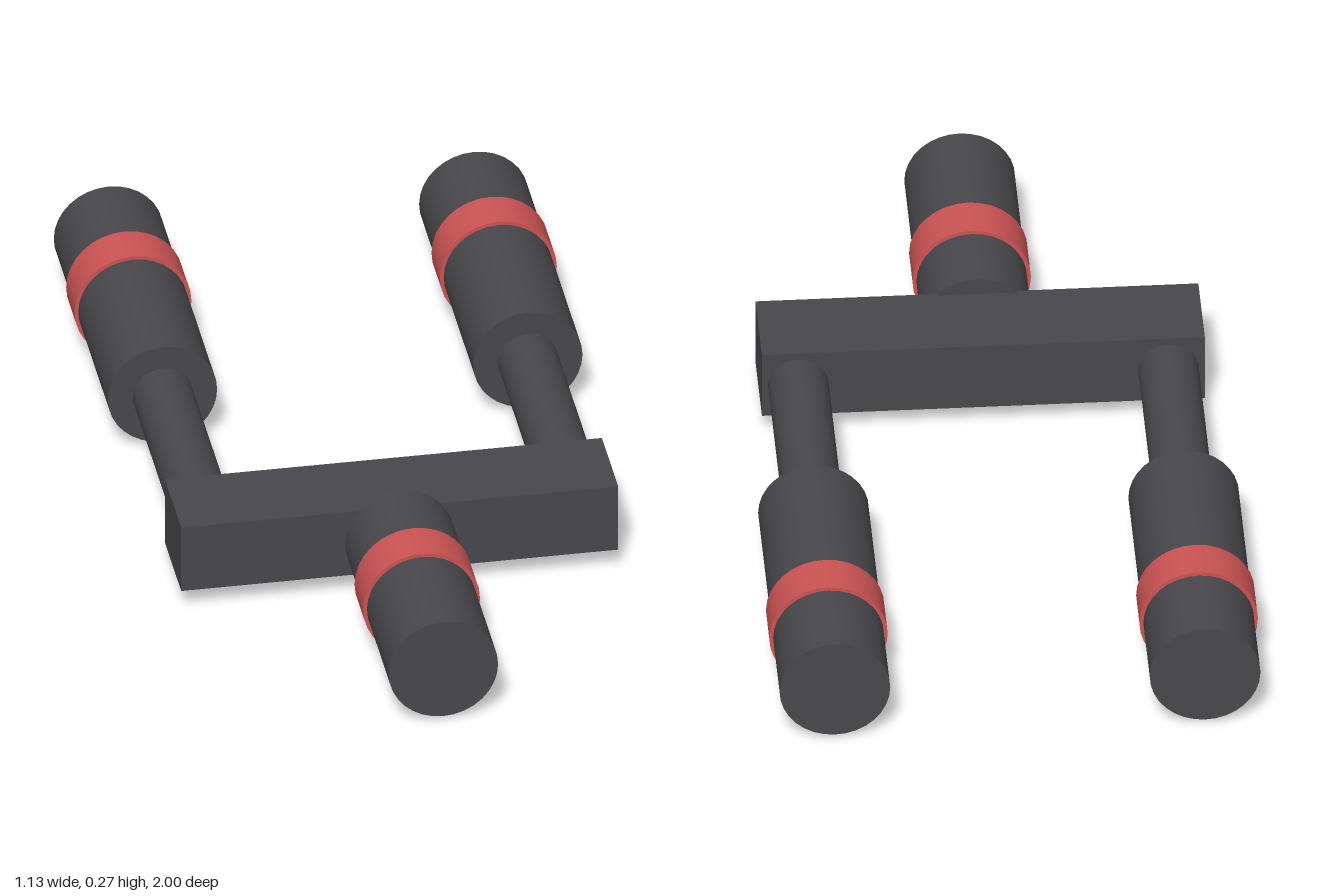
import * as THREE from 'three';

const AXIS_Y = 0.137;

export function createModel() {
  const model = new THREE.Group();
  model.name = 'forkedConnector';

  const charcoal = new THREE.MeshStandardMaterial({ color: 0x48474b });
  charcoal.name = 'charcoal';
  const red = new THREE.MeshStandardMaterial({ color: 0xcd5454 });
  red.name = 'red';

  // Closed cylinder lying along z, from z0 to z1
  function rod(name, radius, x, z0, z1, material, parent) {
    const geometry = new THREE.CylinderGeometry(radius, radius, z1 - z0, 32);
    geometry.rotateX(Math.PI / 2);
    const mesh = new THREE.Mesh(geometry, material);
    mesh.name = name;
    mesh.position.set(x, AXIS_Y, (z0 + z1) / 2);
    parent.add(mesh);
  }

  // Crossbar joining the three arms
  const bar = new THREE.Mesh(new THREE.BoxGeometry(1.024, 0.172, 0.214), charcoal);
  bar.name = 'crossbar';
  bar.position.set(0, AXIS_Y + 0.001, 0.319);
  model.add(bar);

  // Single front plug with its band
  const front = new THREE.Group();
  front.name = 'frontPlug';
  rod('frontBarrel', 0.128, 0, 0.42, 1, charcoal, front);
  rod('frontBand', 0.137, 0, 0.6, 0.713, red, front);
  model.add(front);

  // Two rear arms: thin stem, barrel and band
  for (const [side, sign] of [['left', 1], ['right', -1]]) {
    const arm = new THREE.Group();
    arm.name = side + 'RearArm';
    const x = sign * 0.428;
    rod(side + 'Stem', 0.07, x, -0.3, 0.22, charcoal, arm);
    rod(side + 'Barrel', 0.128, x, -1, -0.29, charcoal, arm);
    rod(side + 'Band', 0.137, x, -0.787, -0.677, red, arm);
    model.add(arm);
  }

  return model;
}
